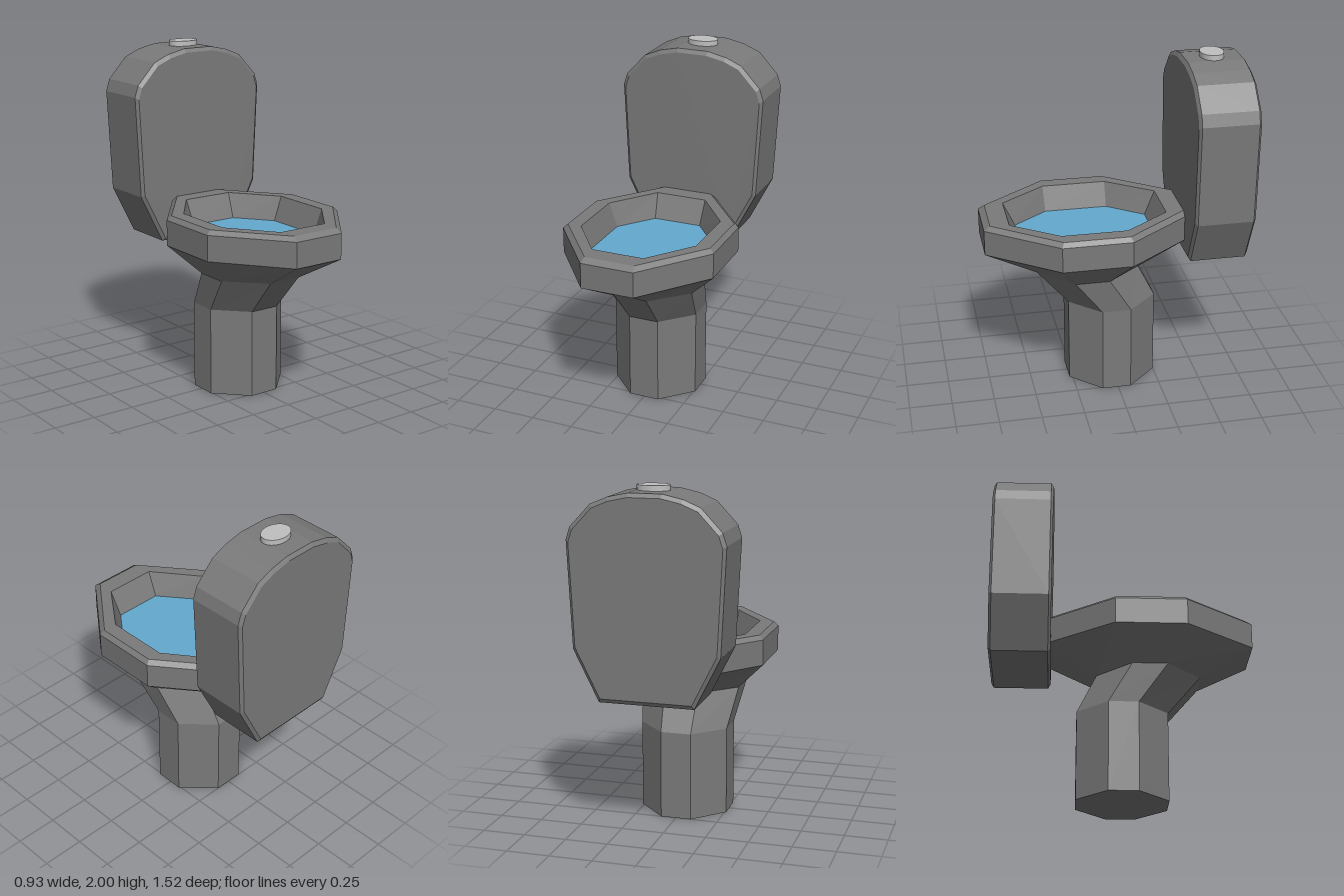
import * as THREE from 'three';

// Skin a list of equal-length point rings, with optional end caps
function loft(rings, capStart, capEnd) {
  const pos = [];
  const tri = (...pts) => pts.forEach((p) => pos.push(...p));
  const n = rings[0].length;
  for (let r = 0; r < rings.length - 1; r++) {
    for (let i = 0; i < n; i++) {
      const j = (i + 1) % n;
      const [a, b, c, d] = [rings[r][i], rings[r][j], rings[r + 1][i], rings[r + 1][j]];
      tri(a, b, d);
      tri(a, d, c);
    }
  }
  const first = rings[0], last = rings[rings.length - 1];
  for (let i = 1; i < n - 1; i++) {
    if (capStart) tri(first[0], first[i + 1], first[i]);
    if (capEnd) tri(last[0], last[i], last[i + 1]);
  }
  const geo = new THREE.BufferGeometry();
  geo.setAttribute('position', new THREE.Float32BufferAttribute(pos, 3));
  geo.computeVertexNormals();
  return geo;
}

// Horizontal octagon: half sizes hx, hz and half lengths of its flats fx, fz
function octagon([y, zc, hx, fx, hz, fz]) {
  return [[-fx, hz], [fx, hz], [hx, fz], [hx, -fz], [fx, -hz], [-fx, -hz], [-hx, -fz], [-hx, fz]]
    .map(([x, z]) => [x, y, zc + z]);
}

export function createModel() {
  const group = new THREE.Group();
  const ceramic = new THREE.MeshStandardMaterial({ color: 0x7a7a7a, name: 'greyCeramic', flatShading: true });
  const blue = new THREE.MeshStandardMaterial({ color: 0x64a9ce, name: 'waterBlue', flatShading: true });
  const metal = new THREE.MeshStandardMaterial({ color: 0xc0c0c0, name: 'buttonMetal' });

  const add = (name, geo, mat) => {
    const mesh = new THREE.Mesh(geo, mat);
    mesh.name = name;
    group.add(mesh);
    return mesh;
  };

  // Pedestal, bowl, bevelled rim and inner wall, from the floor up and back down inside
  const waterLine = [0.94, 0.153, 0.305, 0.145, 0.393, 0.187];
  const profile = [
    [0, 0.01, 0.26, 0.09, 0.26, 0.085],
    [0.52, 0.01, 0.26, 0.09, 0.26, 0.085],
    [0.74, 0.158, 0.297, 0.1, 0.298, 0.1],
    [0.91, 0.157, 0.465, 0.157, 0.603, 0.202],
    [1.06, 0.157, 0.465, 0.157, 0.603, 0.202],
    [1.085, 0.157, 0.44, 0.148, 0.567, 0.19],
    [1.085, 0.157, 0.355, 0.155, 0.458, 0.19],
    waterLine,
  ];
  add('bowlAndPedestal', loft(profile.map(octagon), true, false), ceramic);

  // Water surface closing the bowl
  add('water', loft([octagon(waterLine)], false, true), blue);

  // Tank: arched outline with a narrow bevel front and back
  const half = [[0.27, 0.82], [0.415, 1.11], [0.445, 1.71], [0.422, 1.78], [0.305, 1.905], [0.21, 1.945], [0.095, 1.97]];
  const outline = [...half, ...half.map(([x, y]) => [-x, y]).reverse()];
  const tankX = 0.017;
  const slice = (z, s) => outline.map(([x, y]) => [tankX + x * s, 1.4 + (y - 1.4) * s, z]);
  add('tank', loft([slice(-0.76, 0.96), slice(-0.745, 1), slice(-0.42, 1), slice(-0.405, 0.96)], true, true), ceramic);

  // Oval flush button
  const button = add('flushButton', new THREE.CylinderGeometry(1, 1, 0.06, 32), metal);
  button.scale.set(0.092, 1, 0.068);
  button.position.set(0.02, 1.97, -0.58);

  return group;
}
